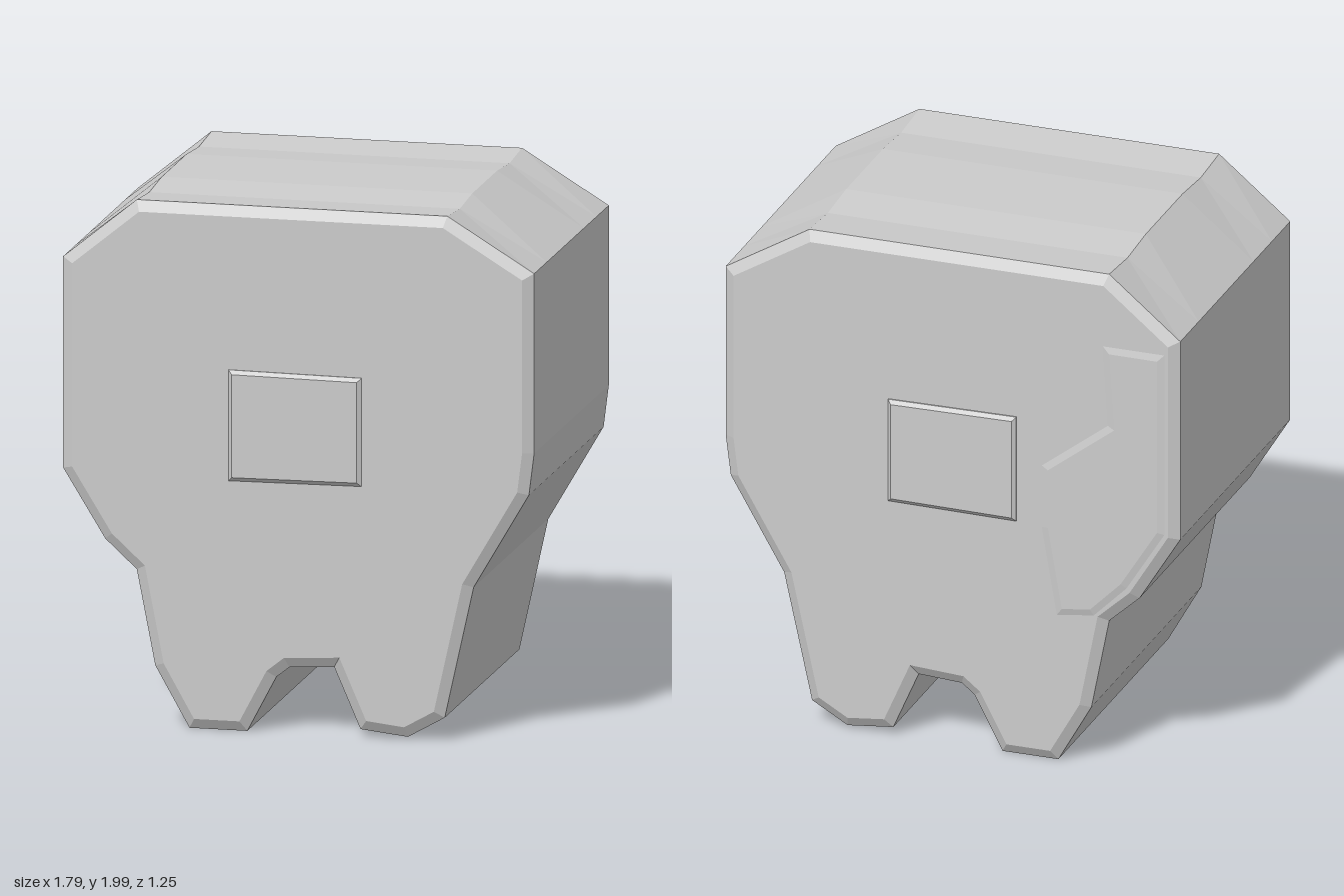
import * as THREE from 'three';

const material = new THREE.MeshStandardMaterial({ color: 0xcccccc, flatShading: true });

const toShape = (points) => new THREE.Shape(points.map(([x, y]) => new THREE.Vector2(x, y)));

// Chamfered slab whose outline is the outer edge, centred on z = 0
function slab(points, depth, inset, chamfer, steps = 1) {
  const geometry = new THREE.ExtrudeGeometry(toShape(points), {
    depth: depth - 2 * chamfer, steps,
    bevelEnabled: true, bevelSegments: 1,
    bevelSize: inset, bevelOffset: -inset, bevelThickness: chamfer,
  });
  return geometry.translate(0, 0, chamfer - depth / 2);
}

function addMesh(group, name, geometry) {
  const mesh = new THREE.Mesh(geometry, material);
  mesh.name = name;
  group.add(mesh);
  return mesh;
}

export function createModel() {
  const model = new THREE.Group();
  model.name = 'tooth';

  // Crown, tapering sides and two roots with an open channel between them
  const outline = [
    [-0.62, 2.0], [-0.9, 1.77], [-0.9, 0.97], [-0.74, 0.71], [-0.62, 0.6],
    [-0.55, 0.24], [-0.42, 0.01], [-0.2, 0.01], [-0.09, 0.22], [-0.04, 0.26],
    [0.13, 0.27], [0.23, 0.04], [0.41, 0.02], [0.55, 0.1], [0.66, 0.6],
    [0.87, 0.96], [0.89, 1.12], [0.89, 1.8], [0.56, 2.0],
  ];
  const body = slab(outline, 1.22, 0.04, 0.025, 6);

  // Slight dips running across the top
  const p = body.attributes.position;
  for (let i = 0; i < p.count; i++) {
    const z = Math.abs(p.getZ(i));
    if (p.getY(i) > 1.99 && z > 0.3 && z < 0.45) p.setY(i, 1.985);
  }
  body.computeVertexNormals();
  addMesh(model, 'body', body);

  // Raised rectangular plates on the front and back
  const plate = [[-0.265, 0.96], [0.24, 0.965], [0.24, 1.375], [-0.265, 1.38]];
  const front = addMesh(model, 'frontPlate', slab(plate, 0.06, 0.015, 0.012));
  front.position.z = 0.595;
  const back = addMesh(model, 'backPlate', slab(plate, 0.06, 0.015, 0.012));
  back.position.z = -0.597;

  // Shallow stepped ledge along one side of the back
  const ledge = [
    [-0.85, 1.72], [-0.6, 1.72], [-0.62, 1.4], [-0.36, 1.2],
    [-0.36, 0.95], [-0.42, 0.6], [-0.57, 0.62], [-0.7, 0.75], [-0.85, 0.99],
  ];
  const step = addMesh(model, 'backLedge', slab(ledge, 0.04, 0.03, 0.008));
  step.position.z = -0.597;

  return model;
}
